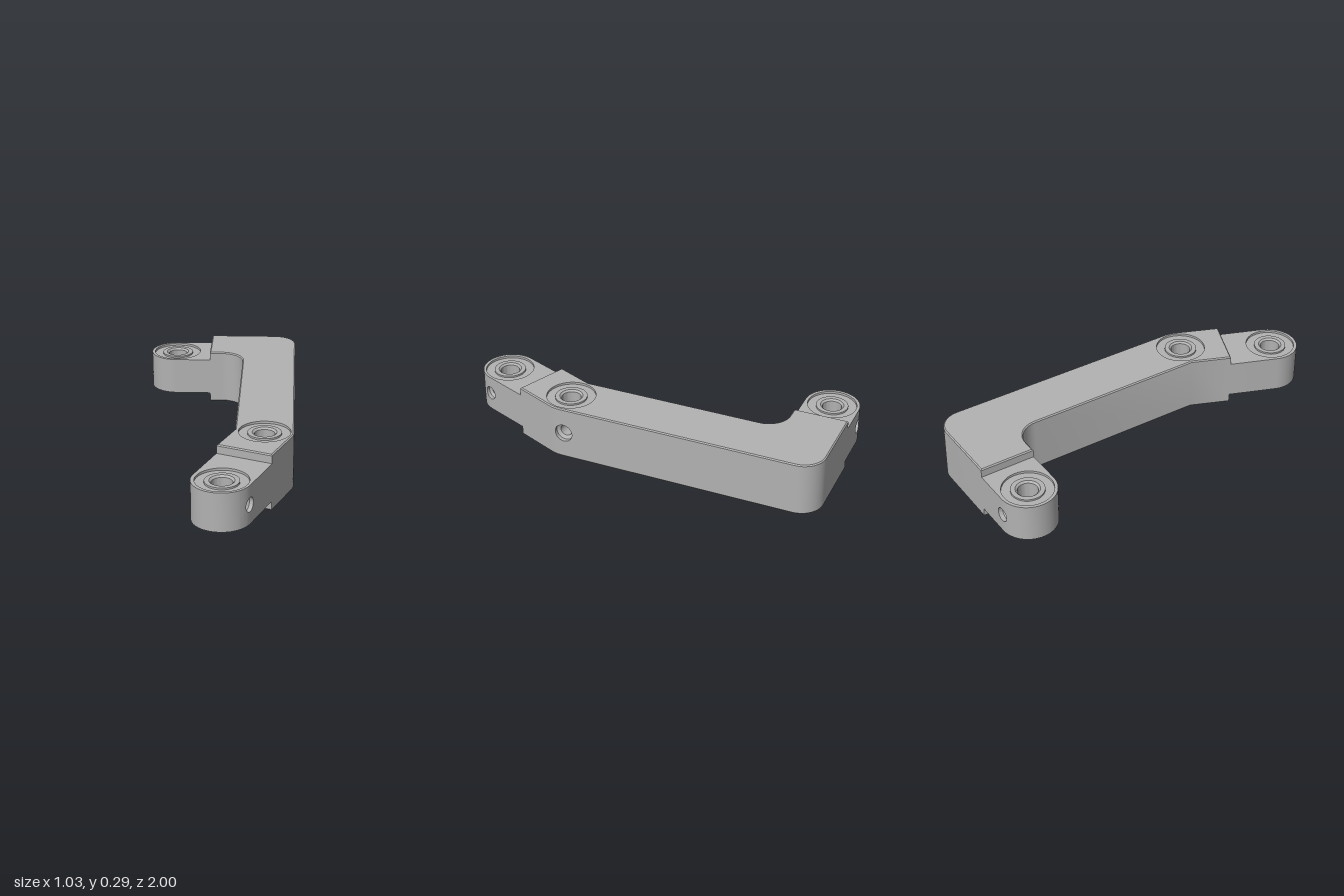
import * as THREE from 'three';
import { toCreasedNormals } from 'three/addons/utils/BufferGeometryUtils.js';

const V = (x, z) => new THREE.Vector2(x, z); // plan coordinates: x, z
const H = 0.143;                             // half width of every arm
const MID = 0.145;                           // mid height
const A = V(-0.124, -0.857), B = V(-0.05, 0.485), C = V(-0.375, 0.857);
const u = V(0.943, 0.333), v = V(-0.333, 0.943), w = V(-0.667, 0.745);
const go = (p, ...steps) => steps.reduce((q, [d, k]) => q.addScaledVector(d, k), p.clone());

// Meeting point of two plan lines
function meet(p, d, q, e) {
  const t = q.clone().sub(p).cross(e) / d.cross(e);
  return go(p, [d, t]);
}

// Closed outline from corners [point, radius]
function outline(corners) {
  const pts = [];
  const add = (p) => { if (!pts.length || pts[pts.length - 1].distanceTo(p) > 1e-4) pts.push(p); };
  const n = corners.length;
  corners.forEach(([p, r], i) => {
    if (!r) return add(p);
    const a = corners[(i + n - 1) % n][0].clone().sub(p).normalize();
    const b = corners[(i + 1) % n][0].clone().sub(p).normalize();
    const half = Math.acos(a.dot(b)) / 2;
    const c = go(p, [a.clone().add(b).normalize(), r / Math.sin(half)]);
    const t0 = go(p, [a, r / Math.tan(half)]).sub(c), t1 = go(p, [b, r / Math.tan(half)]).sub(c);
    const sweep = Math.atan2(t0.cross(t1), t0.dot(t1));
    const steps = Math.max(4, Math.ceil(Math.abs(sweep) / 0.11));
    for (let k = 0; k <= steps; k++) add(t0.clone().rotateAround(V(0, 0), sweep * k / steps).add(c));
  });
  return pts;
}

function insetOutline(pts, e) {
  const n = pts.length;
  const normal = (p, q) => { const t = q.clone().sub(p).normalize(); return V(t.y, -t.x); };
  return pts.map((p, i) => {
    const n1 = normal(pts[(i + n - 1) % n], p), n2 = normal(p, pts[(i + 1) % n]);
    return go(p, [n1.clone().add(n2), -e / (1 + n1.dot(n2))]);
  });
}

// Solid plate with pivot openings, chamfered rims and one side port
function plate(pts, y0, y1, e, pivot, port) {
  const pos = [];
  const at3 = (p, y) => [p.x, y, p.y];
  const quad = (a, b, c, d) => pos.push(...a, ...b, ...c, ...a, ...c, ...d);
  const n = pts.length, rim = e ? insetOutline(pts, e) : pts;

  // top and bottom faces
  for (const top of [true, false]) {
    const k = top ? -1 : 1;
    const shape = new THREE.Shape(rim.map((p) => V(p.x, k * p.y)));
    shape.holes.push(new THREE.Path(Array.from({ length: 48 }, (_, i) => {
      const t = i * Math.PI / 24;
      return V(pivot.x + RECESS * Math.sin(t), k * (pivot.y + RECESS * Math.cos(t)));
    })));
    const cap = new THREE.ShapeGeometry(shape).rotateX(k * Math.PI / 2).translate(0, top ? y1 : y0, 0);
    for (const x of cap.toNonIndexed().attributes.position.array) pos.push(x);
  }

  // chamfers
  if (e) pts.forEach((p, i) => {
    const j = (i + 1) % n;
    quad(at3(p, y1 - e), at3(rim[i], y1), at3(rim[j], y1), at3(pts[j], y1 - e));
    quad(at3(rim[i], y0), at3(p, y0 + e), at3(pts[j], y0 + e), at3(rim[j], y0));
  });

  // wall, measured along the outline
  const lo = y0 + e, hi = y1 - e, dist = [0];
  pts.forEach((p, i) => dist.push(dist[i] + p.distanceTo(pts[(i + 1) % n])));
  const along = (s) => {
    let i = 0;
    while (i < n - 1 && dist[i + 1] < s) i++;
    return pts[i].clone().lerp(pts[(i + 1) % n], (s - dist[i]) / (dist[i + 1] - dist[i]));
  };
  let s0 = 0, best = Infinity;
  for (let k = 0; k <= 3000; k++) {
    const s = dist[n] * k / 3000, d = along(s).distanceTo(port.point);
    if (d < best) { best = d; s0 = s; }
  }
  const W = 0.07;
  const stations = dist.filter((s) => Math.abs(s - s0) > W + 1e-5).concat(s0 - W, s0 + W).sort((a, b) => a - b);
  for (let i = 0; i < stations.length - 1; i++) {
    if (Math.abs(stations[i] - (s0 - W)) < 1e-9) continue;
    const p = along(stations[i]), q = along(stations[i + 1]);
    quad(at3(p, lo), at3(p, hi), at3(q, hi), at3(q, lo));
  }

  // wall patch around the port, then its stepped bore
  const half = (hi - lo) / 2, my = (hi + lo) / 2, corner = Math.atan2(half, W);
  const angles = Array.from({ length: 40 }, (_, i) => -Math.PI + i * Math.PI / 20)
    .concat(corner, -corner, Math.PI - corner, corner - Math.PI).sort((a, b) => a - b);
  const out = port.out, tan = V(-out.y, out.x), R = port.radius;
  const rings = [1, 0.66, 0.33, 0].map((f) => angles.map((t) => {
    const c = Math.cos(t), s = Math.sin(t);
    const edge = 1 / Math.max(Math.abs(c) / W, Math.abs(s) / half), r = R + (edge - R) * f;
    return at3(along(s0 + c * r), my + s * r);
  }));
  for (const [r, depth] of [[R, 0.022], [R * 0.65, 0.034], [R * 0.65, 0.088], [0.0001, 0.089]]) {
    rings.push(angles.map((t) => at3(go(port.point, [tan, r * Math.cos(t)], [out, -depth]), my + r * Math.sin(t))));
  }
  for (let k = 0; k < rings.length - 1; k++) angles.forEach((_, i) => {
    const j = (i + 1) % angles.length, o = rings[k], q = rings[k + 1];
    quad(q[i], q[j], o[j], o[i]);
  });

  const geo = new THREE.BufferGeometry();
  geo.setAttribute('position', new THREE.Float32BufferAttribute(pos, 3));
  return toCreasedNormals(geo, 0.45);
}

// Pivot seat: shallow recess, bushing ring and through bore
const RECESS = 0.127;
function pivotSeat(y0, y1) {
  const side = [[RECESS, 0], [RECESS, 0.012], [0.083, 0.012], [0.083, 0.003], [0.06, 0.003], [0.05, 0.012]];
  const profile = side.map(([r, d]) => V(r, y1 - d)).concat(side.map(([r, d]) => V(r, y0 + d)).reverse());
  return toCreasedNormals(new THREE.LatheGeometry(profile, 48), 0.45);
}

export function createModel() {
  const model = new THREE.Group();
  model.name = 'crankedLinkArm';
  const metal = new THREE.MeshStandardMaterial({ color: 0xb2b2b2 });
  metal.name = 'greyMetal';

  function part(name, pts, y0, y1, e, pivot, port) {
    const group = new THREE.Group();
    group.name = name;
    const shell = new THREE.Mesh(plate(pts, y0, y1, e, pivot, port), metal);
    shell.name = name + 'Shell';
    const seat = new THREE.Mesh(pivotSeat(y0, y1), metal);
    seat.name = name + 'PivotSeat';
    seat.position.set(pivot.x, 0, pivot.y);
    group.add(shell, seat);
    model.add(group);
  }

  // main body: short arm, long arm and bent lower end
  const wOut = V(w.y, -w.x);
  const end1 = go(A, [u, 0.188]), end2 = go(B, [w, 0.24]);
  const elbow = meet(A, u, B, v);
  const body = outline([
    [go(end1, [v, -H]), 0],
    [go(elbow, [u, H], [v, -H]), 0.12],
    [meet(go(B, [u, H]), v, go(B, [wOut, H]), w), H],
    [go(end2, [wOut, H]), 0],
    [go(end2, [wOut, -H]), 0],
    [meet(go(B, [u, -H]), v, go(B, [wOut, -H]), w), 0],
    [go(elbow, [u, -H], [v, H]), 0.12],
    [go(end1, [v, H]), 0],
  ]);
  part('mainBody', body, 0, 2 * MID - 0.002, 0.006, B,
    { point: go(B, [u, H], [v, -0.02]), out: u, radius: 0.048 });

  // thinner rounded end tabs
  function tab(name, centre, base, d, portSide) {
    const side = V(-d.y, d.x), far = go(centre, [d, H]);
    const pts = outline([
      [go(base, [side, -H]), 0], [go(far, [side, -H]), H - 0.0005],
      [go(far, [side, H]), H - 0.0005], [go(base, [side, H]), 0],
    ]);
    const out = side.clone().multiplyScalar(portSide);
    part(name, pts, 0.048, 0.243, 0, centre, { point: go(centre, [out, H]), out, radius: 0.036 });
  }
  tab('backTab', A, end1, u.clone().negate(), 1);
  tab('frontTab', C, end2, w, -1);

  return model;
}
